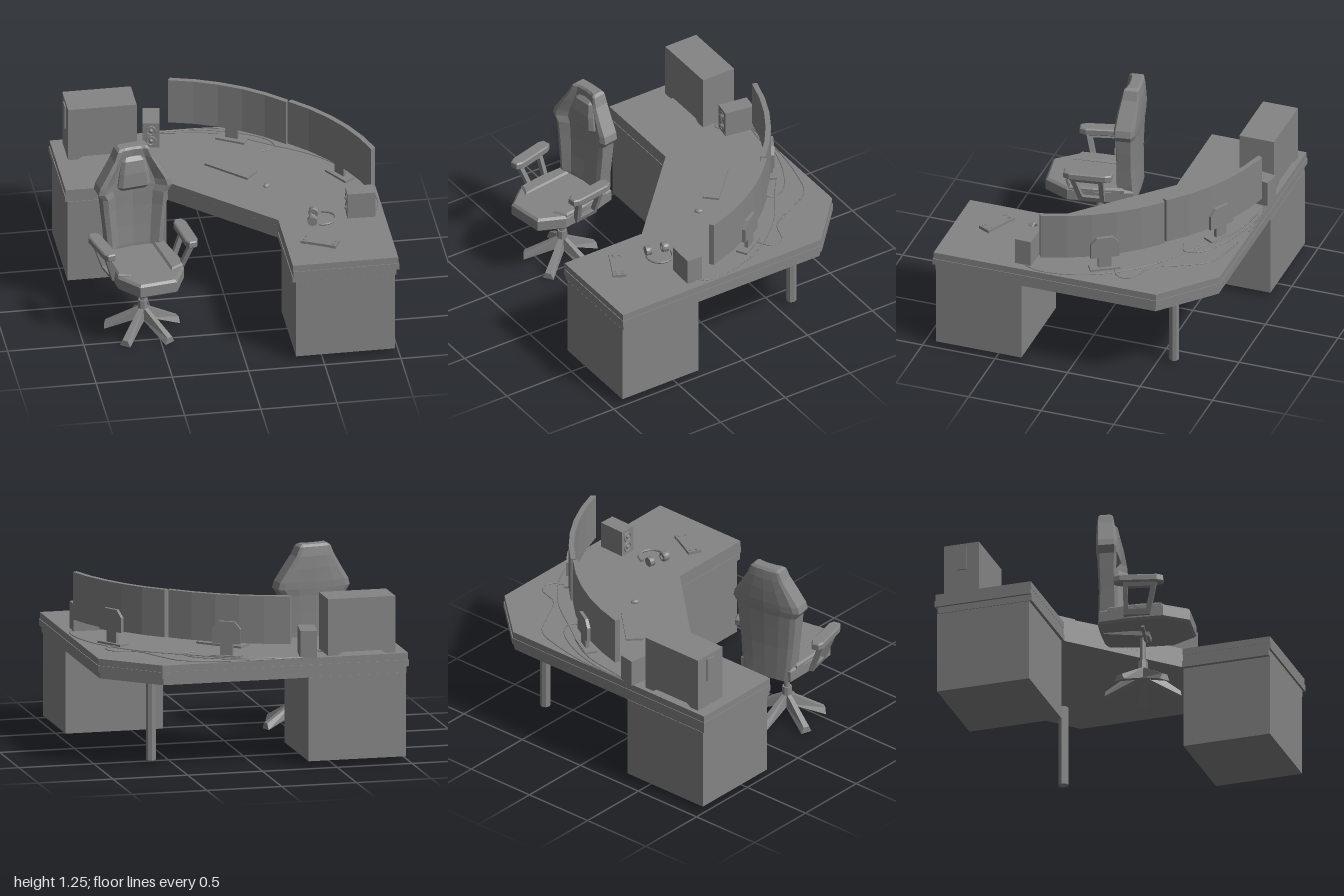
import * as THREE from 'three';

const flat = new THREE.MeshStandardMaterial({ color: 0x848484, flatShading: true, side: THREE.DoubleSide });
const smooth = new THREE.MeshStandardMaterial({ color: 0x848484 });

function add(parent, name, geo, pos = [0, 0, 0], rot = [0, 0, 0], mat = flat) {
  const m = new THREE.Mesh(geo, mat);
  m.name = name;
  m.position.set(...pos);
  m.rotation.set(...rot);
  parent.add(m);
  return m;
}
function group(parent, name, x, y, z, ry = 0) {
  const g = new THREE.Group();
  g.name = name;
  g.position.set(x, y, z);
  g.rotation.y = ry;
  parent.add(g);
  return g;
}
const box = (w, h, d) => new THREE.BoxGeometry(w, h, d);
const cyl = (r0, r1, h, n = 12) => new THREE.CylinderGeometry(r0, r1, h, n);

// Solid standing on an outline of [x, z] points, from y0 to y1
function slab(pts, y0, y1, bevel = 0) {
  const s = new THREE.Shape(pts.map(([x, z]) => new THREE.Vector2(x, -z)));
  const g = new THREE.ExtrudeGeometry(s, {
    depth: y1 - y0 - 2 * bevel, bevelEnabled: bevel > 0, bevelSize: bevel,
    bevelThickness: bevel, bevelOffset: -bevel, bevelSegments: 1,
  });
  return g.rotateX(-Math.PI / 2).translate(0, y0 + bevel, 0);
}

// Skin over horizontal rings, listed bottom to top, each running front left to front right, then back
function loft(rings) {
  const n = rings[0].length, idx = [];
  for (let j = 0; j < rings.length - 1; j++) for (let i = 0; i < n; i++) {
    const a = j * n + i, b = j * n + (i + 1) % n;
    idx.push(a, b, b + n, a, b + n, a + n);
  }
  const top = (rings.length - 1) * n;
  for (let i = 0; i < n / 2 - 1; i++) {
    const k = [i, i + 1, n - 2 - i, n - 1 - i];
    idx.push(k[0], k[2], k[1], k[0], k[3], k[2]);
    idx.push(top + k[0], top + k[1], top + k[2], top + k[0], top + k[2], top + k[3]);
  }
  const g = new THREE.BufferGeometry();
  g.setAttribute('position', new THREE.Float32BufferAttribute(rings.flat(2), 3));
  g.setIndex(idx);
  g.computeVertexNormals();
  return g;
}

function buildDesk(root) {
  const desk = group(root, 'desk', 0, 0, 0);
  const outline = [[-1, -0.925], [0.65, -0.925], [1, -0.61], [1, 0.93], [0.305, 0.93], [0.305, 0.33], [-0.33, -0.27], [-1, -0.27]];
  const scaled = k => outline.map(([x, z]) => [x * k, z * k]);
  add(desk, 'deskTop', slab(scaled(0.995), 0.675, 0.72));
  add(desk, 'deskEdgeBand', slab(outline, 0.632, 0.675));
  add(desk, 'deskApron', slab(scaled(0.985), 0.588, 0.632));
  add(desk, 'leftRearCabinet', box(0.65, 0.555, 0.63), [-0.655, 0.3125, -0.6]);
  add(desk, 'frontCabinet', box(0.65, 0.555, 0.59), [0.65, 0.3125, 0.622]);
  add(desk, 'cornerLeg', cyl(0.034, 0.034, 0.555, 8), [0.645, 0.3125, -0.605]);
}

// Curved screen between two points, bulging backwards, with its stand
function buildMonitor(root, name, [x0, z0], [x1, z1]) {
  const g = group(root, name, 0, 0, 0);
  const dx = x1 - x0, dz = z1 - z0, len = Math.hypot(dx, dz);
  const nx = dz / len, nz = -dx / len, back = [], front = [], steps = 5, sag = 0.06;
  for (let i = 0; i <= steps; i++) {
    const t = i / steps, b = sag * 4 * t * (1 - t);
    back.push([x0 + dx * t + nx * b, z0 + dz * t + nz * b]);
    front.unshift([x0 + dx * t + nx * (b - 0.035), z0 + dz * t + nz * (b - 0.035)]);
  }
  add(g, 'screen', slab([...back, ...front], 0.815, 1.13));
  const st = group(g, 'stand', (x0 + x1) / 2 + nx * 0.055, 0.72, (z0 + z1) / 2 + nz * 0.055, Math.atan2(-nx, -nz));
  add(st, 'standBase', box(0.2, 0.014, 0.08), [0, 0.007, 0]);
  add(st, 'standNeck', box(0.085, 0.12, 0.025), [0, 0.07, -0.005]);
  const p = [[-0.095, 0.09], [0.095, 0.09], [0.095, 0.19], [0.055, 0.237], [-0.055, 0.237], [-0.095, 0.19]];
  const plate = new THREE.Shape(p.map(q => new THREE.Vector2(...q)));
  add(st, 'mountPlate', new THREE.ExtrudeGeometry(plate, { depth: 0.03, bevelEnabled: false }), [0, 0, -0.025]);
}

function buildSpeaker(root, name, x, z, ry, w, d) {
  const g = group(root, name, x, 0.72, z, ry);
  add(g, 'speakerCase', box(w, 0.18, d), [0, 0.09, 0]);
  for (const y of [0.05, 0.125]) {
    add(g, 'coneRing', new THREE.TorusGeometry(0.03, 0.005, 6, 20), [0, y, d / 2]);
    add(g, 'coneCap', new THREE.SphereGeometry(0.014, 10, 6), [0, y, d / 2]);
  }
}

function buildDeskItems(root) {
  // Computer case with an arched cut-out under its side panels
  const s = new THREE.Shape();
  s.moveTo(-0.225, 0).lineTo(-0.16, 0).lineTo(-0.13, 0.022).lineTo(0.13, 0.022).lineTo(0.16, 0)
    .lineTo(0.225, 0).lineTo(0.225, 0.375).lineTo(-0.225, 0.375);
  const pc = group(root, 'computerCase', -0.692, 0.72, -0.77);
  add(pc, 'caseBody', new THREE.ExtrudeGeometry(s, { depth: 0.24, bevelEnabled: false }), [0, 0, -0.12]);
  add(pc, 'caseHandle', box(0.012, 0.16, 0.07), [-0.228, 0.27, 0]);

  buildSpeaker(root, 'leftSpeaker', -0.345, -0.825, -0.16, 0.11, 0.2);
  buildSpeaker(root, 'rightSpeaker', 0.843, 0.328, -Math.PI / 2 - 0.03, 0.108, 0.185);

  const kb = group(root, 'keyboard', 0.105, 0.72, -0.37, -0.76);
  add(kb, 'keyboardBody', box(0.335, 0.014, 0.11), [0, 0.007, 0]);
  add(root, 'mouse', new THREE.SphereGeometry(0.03, 10, 6), [0.3, 0.724, -0.115], [0, -0.7, 0]).scale.set(0.65, 0.6, 1);

  // Handheld console
  const hh = group(root, 'handheldConsole', 0.525, 0.72, 0.66, -0.46);
  add(hh, 'consoleBody', box(0.16, 0.018, 0.088), [0, 0.011, 0]);
  for (const sx of [-1, 1]) {
    add(hh, 'sideGrip', box(0.038, 0.02, 0.09), [sx * 0.1, 0.01, 0]);
    for (const z of [-0.02, 0.02]) add(hh, 'thumbControl', cyl(0.01, 0.01, 0.006, 10), [sx * 0.1, 0.022, z]);
  }

  // Headset lying on its side
  const hs = group(root, 'headset', 0.585, 0.72, 0.375, -0.22);
  add(hs, 'headband', new THREE.TorusGeometry(0.085, 0.009, 6, 20, Math.PI * 1.1), [0, 0.02, 0], [Math.PI / 2, 0, -Math.PI * 0.55]);
  for (const sz of [-1, 1]) {
    add(hs, 'earCup', cyl(0.032, 0.032, 0.028, 12), [-0.06, 0.03, sz * 0.062], [Math.PI / 2, 0, 0]);
    add(hs, 'earPad', new THREE.TorusGeometry(0.024, 0.01, 6, 12), [-0.06, 0.03, sz * 0.044]);
  }

  // Loose cables, as [x, z] paths along the desk
  const cables = [
    [[-0.47, -0.77], [-0.43, -0.72], [-0.38, -0.74]],
    [[-0.29, -0.91], [-0.05, -0.9], [0.22, -0.82], [0.4, -0.7], [0.43, -0.6], [0.34, -0.56]],
    [[-0.29, -0.92], [0.05, -0.91], [0.3, -0.87], [0.5, -0.8], [0.6, -0.64], [0.7, -0.46], [0.86, -0.39], [0.87, -0.3], [0.78, -0.24]],
    [[-0.28, -0.9], [0.1, -0.83], [0.4, -0.64], [0.68, -0.44], [0.88, -0.18], [0.97, 0.08], [0.97, 0.25], [0.93, 0.33]],
  ];
  for (const c of cables) {
    const curve = new THREE.CatmullRomCurve3(c.map(([x, z]) => new THREE.Vector3(x, 0.723, z)));
    add(root, 'cable', new THREE.TubeGeometry(curve, 40, 0.004, 6), [0, 0, 0], [0, 0, 0], smooth);
  }
}

function buildChair(root) {
  const chair = group(root, 'chair', -0.59, 0, 0.36, 0.16);

  // Five-legged foot and gas column
  for (let i = 0; i < 5; i++) {
    const leg = group(chair, 'footLeg', 0, 0, 0, i * Math.PI * 0.4 - 0.8);
    const ring = (y, w) => [[-w, y, 0.5], [w, y, 0.5], [w, y, -0.5], [-w, y, -0.5]];
    const g = loft([ring(-0.5, 0.038), ring(0.5, 0.02)]);
    const p = g.attributes.position;
    for (let k = 0; k < p.count; k++) {
      const out = p.getZ(k) > 0, up = p.getY(k) > 0;
      p.setXYZ(k, p.getX(k) * (out ? 1 : 0.7), out ? (up ? 0.045 : 0.004) : (up ? 0.185 : 0.105), out ? 0.25 : 0.01);
    }
    g.computeVertexNormals();
    add(leg, 'legBeam', g);
  }
  add(chair, 'footHub', cyl(0.032, 0.036, 0.13, 8), [0, 0.165, 0]);
  add(chair, 'gasColumn', cyl(0.02, 0.02, 0.22, 8), [0, 0.31, 0]);
  add(chair, 'tiltMechanism', box(0.1, 0.03, 0.3), [0, 0.42, -0.1], [0.12, 0, 0]);
  add(chair, 'tiltLever', box(0.14, 0.014, 0.02), [-0.06, 0.395, 0.02], [0, 0, -0.4]);

  // Seat: shell, raised side bolsters and cushion
  const half = [[0.19, -0.26], [0.22, -0.05], [0.225, 0.17], [0.125, 0.33]];
  const seat = [...half, ...half.map(([x, z]) => [-x, z]).reverse()];
  add(chair, 'seat', slab(seat, 0.43, 0.53, 0.015));
  for (const s of [-1, 1]) {
    const b = [[0.12, -0.2], [0.2, -0.2], [0.222, 0.0], [0.222, 0.16], [0.13, 0.2]].map(([x, z]) => [x * s, z]);
    add(chair, 'seatBolster', slab(s > 0 ? b : b.reverse(), 0.5, 0.545, 0.012));
  }

  // Backrest rows: y, half width, back z, thickness, wing depth
  const rows = [
    [0.44, 0.17, -0.275, 0.09, 0.02], [0.55, 0.185, -0.275, 0.09, 0.04], [0.68, 0.197, -0.275, 0.08, 0.05],
    [0.82, 0.213, -0.28, 0.08, 0.055], [0.92, 0.222, -0.285, 0.085, 0.06], [0.965, 0.252, -0.29, 0.09, 0.065],
    [1.01, 0.24, -0.293, 0.09, 0.065], [1.1, 0.183, -0.295, 0.09, 0.055], [1.18, 0.133, -0.293, 0.09, 0.035],
    [1.24, 0.108, -0.285, 0.085, 0.02], [1.255, 0.09, -0.27, 0.06, 0.01],
  ];
  add(chair, 'backrest', loft(rows.map(([y, w, z, t, d]) => {
    const f = [[-1, 0.8], [-0.85, 1], [-0.58, 0.25], [0, 0], [0.58, 0.25], [0.85, 1], [1, 0.8]];
    const b = [[1, 0.75], [0.85, 0.35], [0.5, 0.1], [0, 0], [-0.5, 0.1], [-0.85, 0.35], [-1, 0.75]];
    return [...f.map(([x, k]) => [x * w, y, z + t + d * k]), ...b.map(([x, k]) => [x * w, y, z + d * k * 0.8])];
  })));
  const pillow = [[0.955, 0.1, -0.18], [0.985, 0.112, -0.155], [1.08, 0.098, -0.16], [1.165, 0.08, -0.175], [1.19, 0.065, -0.2]];
  add(chair, 'headPillow', loft(pillow.map(([y, w, z]) =>
    [[-w, y, z - 0.02], [-w * 0.75, y, z], [w * 0.75, y, z], [w, y, z - 0.02], [w, y, -0.25], [w * 0.75, y, -0.25], [-w * 0.75, y, -0.25], [-w, y, -0.25]])));

  // Armrests: pad over an open frame
  const frame = new THREE.Shape([[-0.1, 0.455], [0.07, 0.455], [0.12, 0.66], [-0.1, 0.66]].map(p => new THREE.Vector2(...p)));
  frame.holes.push(new THREE.Path([[-0.07, 0.49], [-0.07, 0.63], [0.08, 0.63], [0.045, 0.49]].map(p => new THREE.Vector2(...p))));
  const pad = [[-0.025, -0.16], [0.025, -0.16], [0.043, -0.12], [0.043, 0.12], [0.025, 0.16], [-0.025, 0.16], [-0.043, 0.12], [-0.043, -0.12]];
  for (const s of [-1, 1]) {
    const arm = group(chair, s > 0 ? 'leftArmrest' : 'rightArmrest', s * 0.285, 0, 0.02, s < 0 ? 0.1 : 0);
    add(arm, 'armPad', slab(pad, 0.655, 0.705, 0.008));
    const g = new THREE.ExtrudeGeometry(frame, { depth: 0.035, bevelEnabled: false });
    g.rotateY(-Math.PI / 2).translate(0.0175, 0, 0);
    // Lean the frame in towards the seat
    const p = g.attributes.position;
    for (let k = 0; k < p.count; k++) p.setX(k, p.getX(k) - s * ((0.66 - p.getY(k)) * 0.35 - 0.01));
    add(arm, 'armFrame', g);
  }
}

export function createModel() {
  const root = new THREE.Group();
  root.name = 'cornerWorkstation';
  buildDesk(root);
  buildMonitor(root, 'rearMonitor', [-0.21, -0.9], [0.5, -0.5]);
  buildMonitor(root, 'sideMonitor', [0.525, -0.495], [0.96, 0.2]);
  buildDeskItems(root);
  buildChair(root);
  return root;
}
